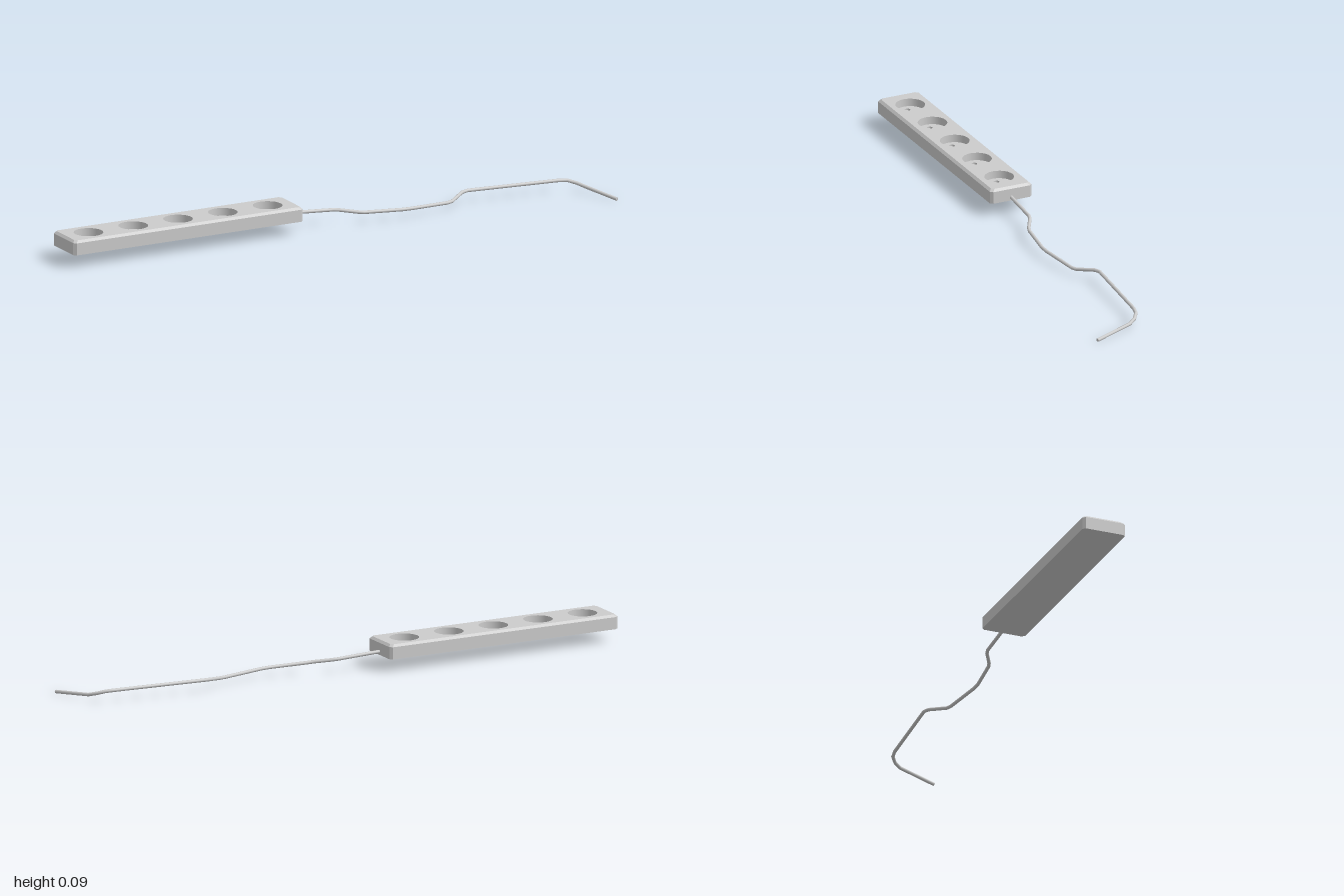
import * as THREE from 'three';

const HALF_X = 0.4375, HALF_Z = 0.0775, CHAMFER = 0.009;
const BOTTOM = 0.045, SHOULDER = 0.087, TOP = 0.095;
const WELL_R = 0.05, WELL_FLOOR = 0.068, PIN_R = 0.0095, PIN_X = 0.021, PIN_FLOOR = 0.055;
const SOCKETS = [-2, -1, 0, 1, 2].map(i => i * 0.171);
const SIDES = 24;

const grey = new THREE.MeshStandardMaterial({ color: 0xcccccc });
const flat = new THREE.MeshStandardMaterial({ color: 0xcccccc, flatShading: true });
const twoSided = new THREE.MeshStandardMaterial({ color: 0xcccccc, side: THREE.DoubleSide });

function add(parent, name, geometry, material) {
  const mesh = new THREE.Mesh(geometry, material);
  mesh.name = name;
  parent.add(mesh);
  return mesh;
}

// Rectangle with cut corners, counter-clockwise seen from above
function outline(inset) {
  const x = HALF_X - inset, z = HALF_Z - inset, c = CHAMFER;
  return [[x, c - z], [x, z - c], [x - c, z], [c - x, z], [-x, z - c], [-x, c - z], [c - x, -z], [x - c, -z]]
    .map(p => new THREE.Vector2(...p));
}

function circlePath(x, r) {
  const points = [];
  for (let i = 0; i < SIDES; i++) {
    const a = i / SIDES * Math.PI * 2;
    points.push(new THREE.Vector2(x + r * Math.cos(a), r * Math.sin(a)));
  }
  return points;
}

// Level sheet facing up, with round holes
function sheet(points, y, holes = []) {
  const shape = new THREE.Shape(points);
  shape.holes = holes.map(h => new THREE.Path(h));
  return new THREE.ShapeGeometry(shape).rotateX(-Math.PI / 2).translate(0, y, 0);
}

// Outer walls and sloping top edge, joined from three outlines
function shellGeometry() {
  const rings = [[0, BOTTOM], [0, SHOULDER], [0.008, TOP]].map(([inset, y]) =>
    outline(inset).map(p => [p.x, y, -p.y]));
  const positions = [];
  for (let k = 0; k < 2; k++) {
    for (let i = 0; i < 8; i++) {
      const j = (i + 1) % 8;
      const a = rings[k][i], b = rings[k][j], c = rings[k + 1][j], d = rings[k + 1][i];
      positions.push(...a, ...b, ...c, ...a, ...c, ...d);
    }
  }
  const geometry = new THREE.BufferGeometry();
  geometry.setAttribute('position', new THREE.Float32BufferAttribute(positions, 3));
  geometry.computeVertexNormals();
  return geometry;
}

// Open round wall; turned so its corners meet the holes
function holeWall(x, r, low, high) {
  return new THREE.CylinderGeometry(r, r, high - low, SIDES, 1, true)
    .rotateY(Math.PI / 2).translate(x, (low + high) / 2, 0);
}

function createSocket(x) {
  const socket = new THREE.Group();
  socket.name = 'socket';
  socket.position.x = x;
  add(socket, 'socketWall', holeWall(0, WELL_R, WELL_FLOOR, TOP), twoSided);
  const pins = [-PIN_X, PIN_X];
  add(socket, 'socketFloor', sheet(circlePath(0, WELL_R), WELL_FLOOR, pins.map(p => circlePath(p, PIN_R))), grey);
  for (const p of pins) {
    add(socket, 'pinHoleWall', holeWall(p, PIN_R, PIN_FLOOR, WELL_FLOOR), twoSided);
    add(socket, 'pinHoleFloor', sheet(circlePath(p, PIN_R), PIN_FLOOR), grey);
  }
  return socket;
}

// Bent path sampled exactly at its corners
class BentPath extends THREE.Curve {
  constructor(points) {
    super();
    this.points = points;
  }
  getPoint(t, target = new THREE.Vector3()) {
    const f = t * (this.points.length - 1);
    const i = Math.min(Math.floor(f + 1e-6), this.points.length - 2);
    return target.lerpVectors(this.points[i], this.points[i + 1], f - i);
  }
  getPointAt(u, target) {
    return this.getPoint(u, target);
  }
  getTangentAt(u, target = new THREE.Vector3()) {
    const p = this.points, last = p.length - 1, i = Math.round(u * last);
    target.set(0, 0, 0);
    if (i > 0) target.add(p[i].clone().sub(p[i - 1]).normalize());
    if (i < last) target.add(p[i + 1].clone().sub(p[i]).normalize());
    return target.normalize();
  }
}

function createCable() {
  const cable = new THREE.Group();
  cable.name = 'cable';
  const points = [
    [-0.135, 0.057, -0.072], [0.025, 0.048, -0.064], [0.045, 0.046, -0.058], [0.1, 0.039, -0.027],
    [0.12, 0.037, -0.02], [0.255, 0.033, -0.001], [0.29, 0.032, -0.001], [0.44, 0.026, -0.022],
    [0.46, 0.027, -0.028], [0.52, 0.039, -0.07], [0.545, 0.041, -0.076], [0.87, 0.039, -0.044],
    [0.905, 0.037, -0.036], [0.93, 0.029, -0.018], [0.947, 0.021, 0.008], [0.993, 0.006, 0.15],
  ].map(p => new THREE.Vector3(...p));
  const path = new BentPath(points);
  const radius = 0.006;
  add(cable, 'cord', new THREE.TubeGeometry(path, points.length - 1, radius, 10, false), grey);
  // Cap on the free end
  const cap = add(cable, 'cordEnd', new THREE.CircleGeometry(radius, 10), twoSided);
  cap.position.copy(points[points.length - 1]);
  cap.quaternion.setFromUnitVectors(new THREE.Vector3(0, 0, 1), path.getTangentAt(1));
  return cable;
}

export function createModel() {
  const model = new THREE.Group();
  model.name = 'powerStrip';

  // Housing with a row of five sockets
  const housing = new THREE.Group();
  housing.name = 'housing';
  housing.position.set(-0.5625, 0, -0.0725);
  add(housing, 'housingWalls', shellGeometry(), flat);
  add(housing, 'housingTop', sheet(outline(0.008), TOP, SOCKETS.map(x => circlePath(x, WELL_R))), grey);
  const base = new THREE.ShapeGeometry(new THREE.Shape(outline(0))).rotateX(Math.PI / 2).translate(0, BOTTOM, 0);
  add(housing, 'housingBase', base, grey);
  for (const x of SOCKETS) housing.add(createSocket(x));

  model.add(housing, createCable());
  return model;
}
